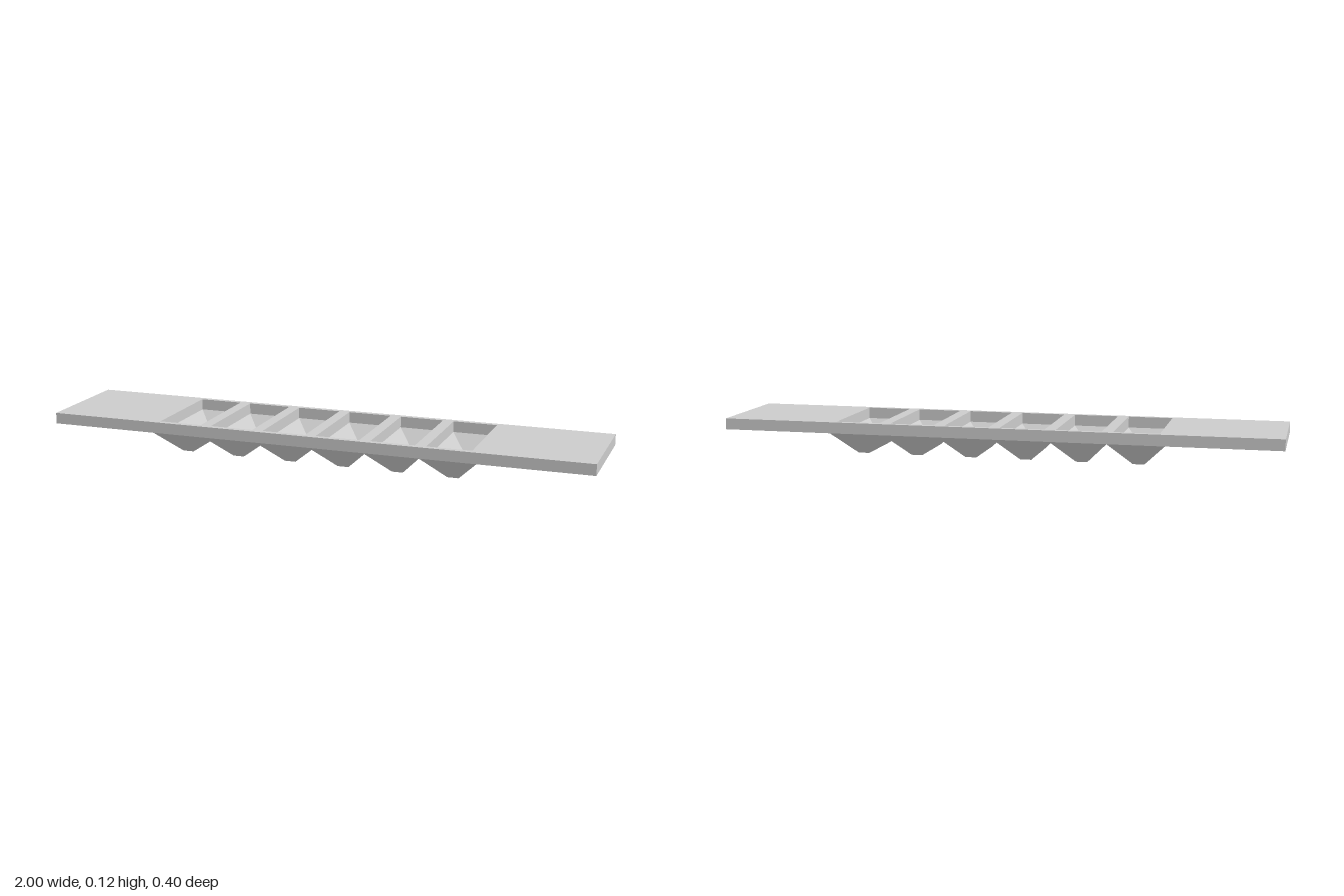
import * as THREE from 'three';

const material = new THREE.MeshStandardMaterial({ color: 0xcccccc, flatShading: true });

const PLATE_BOTTOM = 0.08;
const PLATE_THICKNESS = 0.04;
const CELL = 0.2;
const CENTRES = Array.from({ length: 6 }, (_, i) => (i - 2.5) * CELL);

// Adds a closed rectangle, centred on (cx, 0), to a shape or path
function rectangle(path, cx, halfX, halfY) {
  path.moveTo(cx - halfX, -halfY);
  path.lineTo(cx + halfX, -halfY);
  path.lineTo(cx + halfX, halfY);
  path.lineTo(cx - halfX, halfY);
  path.closePath();
  return path;
}

// Flat-faced solid lofted through rectangular rings [halfX, halfZ, y], capped at both ends
function loftRectangles(rings) {
  const corners = [[-1, 1], [1, 1], [1, -1], [-1, -1]];
  const points = rings.map(([hx, hz, y]) => corners.map(([sx, sz]) => [sx * hx, y, sz * hz]));
  const positions = [];
  const quad = (a, b, c, d) => positions.push(...a, ...b, ...c, ...a, ...c, ...d);
  for (let r = 0; r < points.length - 1; r++) {
    for (let i = 0; i < 4; i++) {
      const j = (i + 1) % 4;
      quad(points[r][i], points[r + 1][i], points[r + 1][j], points[r][j]);
    }
  }
  const first = points[0];
  const last = points[points.length - 1];
  quad(first[0], first[1], first[2], first[3]);
  quad(last[3], last[2], last[1], last[0]);
  const geometry = new THREE.BufferGeometry();
  geometry.setAttribute('position', new THREE.Float32BufferAttribute(positions, 3));
  geometry.computeVertexNormals();
  return geometry;
}

export function createModel() {
  const model = new THREE.Group();
  model.name = 'hopperTray';

  // Flat plate with a row of rectangular openings
  const outline = rectangle(new THREE.Shape(), 0, 1, 0.2);
  for (const x of CENTRES) outline.holes.push(rectangle(new THREE.Path(), x, 0.08, 0.18));
  const plateGeometry = new THREE.ExtrudeGeometry(outline, {
    depth: PLATE_THICKNESS,
    bevelEnabled: false,
  });
  plateGeometry.rotateX(-Math.PI / 2);
  plateGeometry.translate(0, PLATE_BOTTOM, 0);
  const plate = new THREE.Mesh(plateGeometry, material);
  plate.name = 'plate';
  model.add(plate);

  // Tapered, hollow hoppers: inner floor, inner rim, outer rim, outer base
  const hopperGeometry = loftRectangles([
    [0.016, 0.113, 0.015],
    [0.08, 0.18, PLATE_BOTTOM],
    [0.1, 0.2, PLATE_BOTTOM],
    [0.02, 0.12, 0],
  ]);
  const hoppers = new THREE.Group();
  hoppers.name = 'hoppers';
  CENTRES.forEach((x, i) => {
    const hopper = new THREE.Mesh(hopperGeometry, material);
    hopper.name = `hopper${i + 1}`;
    hopper.position.x = x;
    hoppers.add(hopper);
  });
  model.add(hoppers);

  return model;
}
